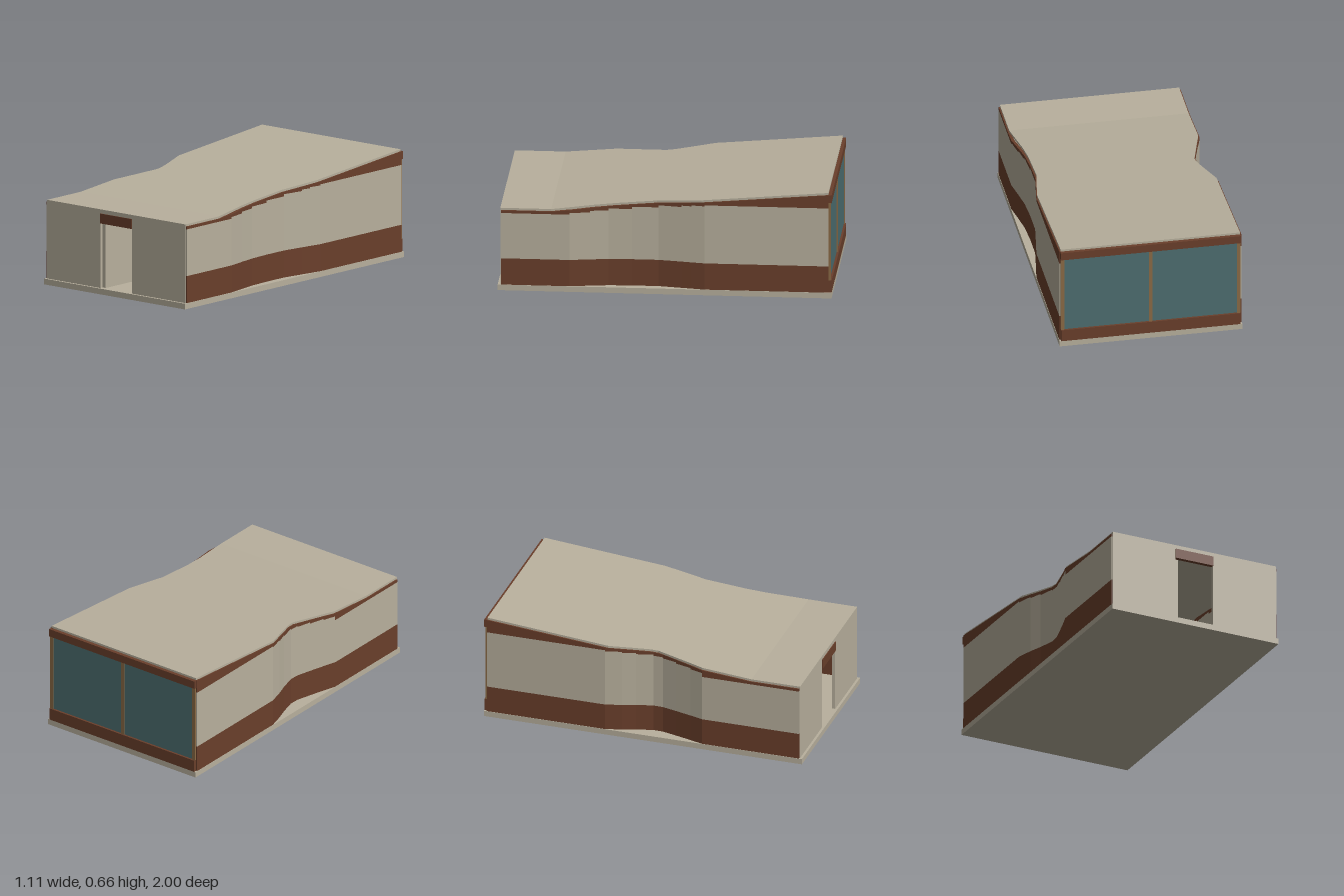
import * as THREE from 'three';

const mat = (name, color) => {
  const m = new THREE.MeshStandardMaterial({ color });
  m.name = name;
  return m;
};

// Height of the roof's top surface along the building
const roofY = z => (z > 0.68 ? 0.515 : 0.515 + ((0.68 - z) / 1.66) * 0.145);
const ROOF = 0.013;

// Linear interpolation on [x, z] points sorted by falling z
function xAt(points, z) {
  for (let i = 1; i < points.length; i++) {
    const [x0, z0] = points[i - 1], [x1, z1] = points[i];
    if (z >= z1) return x0 + ((x1 - x0) * (z0 - z)) / (z0 - z1);
  }
  return points[points.length - 1][0];
}

// Solid through four-cornered sections running from front to back
function loft(sections) {
  const pos = [];
  const quad = (a, b, c, d) => pos.push(...a, ...b, ...c, ...a, ...c, ...d);
  const rings = sections.map(({ z, x0, x1, b0, t0 }) =>
    [[x0, b0, z], [x1, b0, z], [x1, t0, z], [x0, t0, z]]);
  quad(...rings[0]);
  quad(...rings[rings.length - 1].slice().reverse());
  for (let k = 1; k < rings.length; k++) {
    const f = rings[k - 1], b = rings[k];
    for (let i = 0; i < 4; i++) {
      const j = (i + 1) % 4;
      quad(f[i], b[i], b[j], f[j]);
    }
  }
  const g = new THREE.BufferGeometry();
  g.setAttribute('position', new THREE.Float32BufferAttribute(pos, 3));
  g.computeVertexNormals();
  return g;
}

export function createModel() {
  const model = new THREE.Group();
  model.name = 'pavilion';
  const plaster = mat('plaster', 0xb8b09d);
  const brown = mat('brown cladding', 0x6a3f2b);
  const glass = mat('glass', 0x4d6e70);
  const wood = mat('wood', 0x8a6a45);

  const add = (name, geometry, material) => {
    const m = new THREE.Mesh(geometry, material);
    m.name = name;
    model.add(m);
  };
  const box = (name, material, x0, x1, y0, y1, z0, z1) => {
    const g = new THREE.BoxGeometry(x1 - x0, y1 - y0, z1 - z0);
    g.translate((x0 + x1) / 2, (y0 + y1) / 2, (z0 + z1) / 2);
    add(name, g, material);
  };

  box('floorSlab', plaster, -0.555, 0.555, 0, 0.035, -1, 1);

  // Side walls, each with its own inward curve
  const rightPath = [[0.553, 0.98], [0.553, 0.57], [0.532, 0.45], [0.515, 0.34], [0.508, 0.2],
    [0.508, 0.04], [0.53, -0.1], [0.54, -0.16], [0.553, -0.24], [0.553, -0.98]];
  const leftPath = [[-0.553, 0.98], [-0.553, 0.37], [-0.528, 0.29], [-0.5, 0.19], [-0.476, 0.1],
    [-0.474, 0.04], [-0.5, -0.06], [-0.527, -0.14], [-0.553, -0.24], [-0.553, -0.98]];
  const bandTop = z => (z > 0.57 ? 0.485 : z < -0.24 ? 0.565 : 0.49 + ((0.57 - z) / 0.81) * 0.072);

  function sideWall(name, path, side) {
    const section = (z, b0, t0) => {
      const outer = xAt(path, z), inner = outer - side * 0.018;
      return { z, x0: Math.min(outer, inner), x1: Math.max(outer, inner), b0, t0 };
    };
    const zs = path.map(p => p[1]);
    add(name + 'Plinth', loft(zs.map(z => section(z, 0.035, 0.2))), brown);
    // Plaster steps up under the sloping brown band
    for (let i = 1; i < zs.length; i++) {
      const step = bandTop((zs[i - 1] + zs[i]) / 2);
      const ends = [zs[i - 1], zs[i]];
      add(name + 'Panel', loft(ends.map(z => section(z, 0.2, step))), plaster);
      const cuts = ends[0] > 0.68 && ends[1] < 0.68 ? [ends[0], 0.68, ends[1]] : ends;
      add(name + 'TopBand', loft(cuts.map(z => section(z, step, roofY(z) - ROOF))), brown);
    }
  }
  sideWall('leftWall', rightPath, 1);
  sideWall('rightWall', leftPath, -1);

  // Roof sheet, flat at the front and rising to the back
  const roofPlus = [[0.545, 0.985], [0.545, 0.68], [0.53, 0.57], [0.51, 0.43], [0.5, 0.3],
    [0.498, 0.05], [0.52, -0.07], [0.545, -0.22], [0.545, -0.98]];
  const roofMinus = [[-0.545, 0.985], [-0.545, 0.37], [-0.525, 0.3], [-0.465, 0.07],
    [-0.47, 0.02], [-0.5, -0.08], [-0.545, -0.22], [-0.545, -0.98]];
  const roofZ = [...new Set([...roofPlus, ...roofMinus].map(p => p[1]))].sort((a, b) => b - a);
  add('roof', loft(roofZ.map(z => ({
    z, x0: xAt(roofMinus, z), x1: xAt(roofPlus, z), b0: roofY(z) - ROOF, t0: roofY(z),
  }))), plaster);

  // Front wall with doorway
  for (const s of [-1, 1]) {
    const xs = [s * 0.125, s * 0.545].sort((a, b) => a - b);
    box('frontWall', plaster, ...xs, 0.035, 0.49, 0.965, 0.985);
  }
  box('frontFascia', plaster, -0.545, 0.545, 0.49, 0.503, 0.965, 0.985);
  box('doorLintel', brown, -0.125, 0.125, 0.43, 0.49, 0.965, 0.99);

  // Rear glazing
  box('rearSill', brown, -0.545, 0.545, 0.035, 0.11, -1, -0.98);
  box('rearHeader', brown, -0.548, 0.548, 0.597, 0.646, -1, -0.975);
  box('rearGlass', glass, -0.54, 0.54, 0.11, 0.597, -0.987, -0.98);
  for (const x of [-0.535, 0, 0.535])
    box('rearMullion', wood, x - 0.01, x + 0.01, 0.11, 0.597, -0.994, -0.975);

  // Interior partitions seen through the doorway
  box('hallWall', plaster, -0.125, -0.1, 0.035, 0.43, 0.5, 0.965);
  box('screenWall', plaster, -0.1, 0.055, 0.035, 0.395, 0.28, 0.3);
  box('screenCap', brown, -0.1, 0.055, 0.395, 0.41, 0.275, 0.305);
  box('lowWall', plaster, 0.09, 0.48, 0.035, 0.28, 0.18, 0.2);
  box('floorInlay', glass, -0.09, 0.055, 0.035, 0.039, 0.4, 0.65);

  return model;
}
